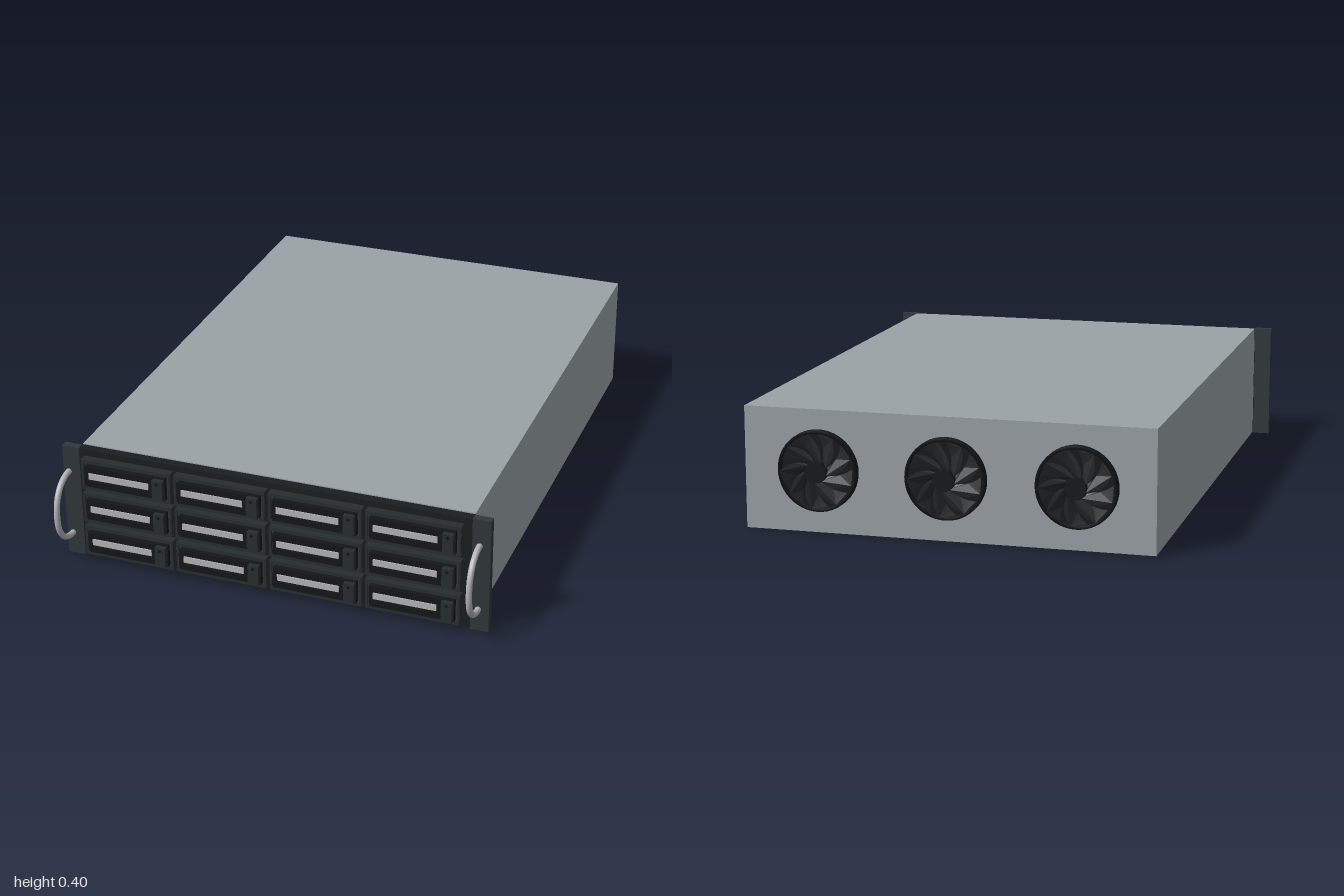
import * as THREE from 'three';

const mat = (color) => new THREE.MeshStandardMaterial({ color });
const steel = mat(0x9aa2a6), silver = mat(0xb4b4b8), panel = mat(0x1a1e20);
const plate = mat(0x30373a), trim = mat(0x272d2f), black = mat(0x131617), blade = mat(0x202324);

function add(parent, name, geometry, material, x = 0, y = 0, z = 0) {
  const mesh = new THREE.Mesh(geometry, material);
  mesh.name = name;
  mesh.position.set(x, y, z);
  parent.add(mesh);
  return mesh;
}

// box given by centre x, y and its back and front z
function slab(parent, name, material, w, h, z0, z1, x = 0, y = 0) {
  return add(parent, name, new THREE.BoxGeometry(w, h, z1 - z0), material, x, y, (z0 + z1) / 2);
}

// rectangular rim with an opening
function rimGeometry(w, h, holeW, holeH, depth) {
  const rect = (Type, a, b) => new Type([
    new THREE.Vector2(-a / 2, -b / 2), new THREE.Vector2(a / 2, -b / 2),
    new THREE.Vector2(a / 2, b / 2), new THREE.Vector2(-a / 2, b / 2)]);
  const shape = rect(THREE.Shape, w, h);
  shape.holes.push(rect(THREE.Path, holeW, holeH));
  return new THREE.ExtrudeGeometry(shape, { depth, bevelEnabled: false });
}

// hot-swap drive tray: surround, recessed front, silver strip and latch
function driveTray(x, y) {
  const g = new THREE.Group();
  g.name = 'driveTray';
  g.position.set(x, y, 0.866);
  slab(g, 'trayBody', plate, 0.304, 0.098, 0, 0.02);
  add(g, 'trayRim', rimGeometry(0.312, 0.108, 0.296, 0.084, 0.028), trim);
  slab(g, 'trayFront', black, 0.238, 0.074, 0.02, 0.032, -0.021);
  add(g, 'stripRim', rimGeometry(0.238, 0.074, 0.214, 0.032, 0.006), black, -0.021, 0, 0.032);
  slab(g, 'labelStrip', silver, 0.21, 0.022, 0.032, 0.036, -0.023);
  slab(g, 'latchBase', black, 0.042, 0.08, 0.02, 0.035, 0.12);
  slab(g, 'latch', trim, 0.036, 0.072, 0.035, 0.052, 0.12);
  const light = add(g, 'latchButton', new THREE.CylinderGeometry(0.005, 0.005, 0.004, 12), black, 0.12, 0.025, 0.053);
  light.rotation.x = Math.PI / 2;
  return g;
}

// exhaust fan with swept blades, facing +z before it is turned
function fan(x) {
  const g = new THREE.Group();
  g.name = 'fan';
  g.position.set(x, 0.207, -0.963);
  g.rotation.y = Math.PI;

  const disc = add(g, 'fanBack', new THREE.CylinderGeometry(0.126, 0.126, 0.008, 48), black, 0, 0, 0.004);
  disc.rotation.x = Math.PI / 2;
  const ring = [[0.121, 0], [0.131, 0], [0.131, 0.02], [0.121, 0.02], [0.121, 0]];
  const ringMesh = add(g, 'fanRing', new THREE.LatheGeometry(ring.map(p => new THREE.Vector2(...p)), 48), black);
  ringMesh.material = black;
  ringMesh.rotation.x = Math.PI / 2;

  const shape = new THREE.Shape();
  shape.moveTo(0.03, -0.012);
  shape.quadraticCurveTo(0.085, -0.01, 0.112, 0.045);
  shape.quadraticCurveTo(0.098, 0.068, 0.08, 0.086);
  shape.quadraticCurveTo(0.07, 0.035, 0.03, 0.012);
  const bladeGeo = new THREE.ExtrudeGeometry(shape, { depth: 0.006, bevelEnabled: false, curveSegments: 8 });
  // pitch each blade: the leading edge stands higher
  const pos = bladeGeo.attributes.position;
  for (let i = 0; i < pos.count; i++) {
    const px = pos.getX(i), py = pos.getY(i);
    const sweep = Math.atan2(py, px) - (Math.hypot(px, py) - 0.03) * 6.5;
    pos.setZ(i, pos.getZ(i) + 0.018 - THREE.MathUtils.clamp(sweep, -0.4, 0.4) * 0.02);
  }
  bladeGeo.computeVertexNormals();
  for (let i = 0; i < 9; i++) {
    add(g, 'fanBlade', bladeGeo, blade).rotation.z = (i / 9) * Math.PI * 2;
  }

  const hub = add(g, 'fanHub', new THREE.CylinderGeometry(0.035, 0.04, 0.036, 32), black, 0, 0, 0.019);
  hub.rotation.x = Math.PI / 2;
  return g;
}

// bowed carrying handle
function handleGeometry() {
  const path = new THREE.CatmullRomCurve3([
    [0.09, 0.885], [0.092, 0.91], [0.11, 0.95], [0.15, 0.979], [0.205, 0.988],
    [0.26, 0.979], [0.30, 0.95], [0.318, 0.91], [0.32, 0.885]
  ].map(([y, z]) => new THREE.Vector3(0, y, z)));
  return new THREE.TubeGeometry(path, 40, 0.01, 12, false);
}

export function createModel() {
  const model = new THREE.Group();
  model.name = 'rackServer';

  slab(model, 'chassis', steel, 1.33, 0.397, -0.963, 0.834, 0, 0.203);
  slab(model, 'frontPanel', panel, 1.33, 0.392, 0.834, 0.866, 0, 0.202);

  // rack ears and handles
  const handleGeo = handleGeometry();
  const capGeo = new THREE.CircleGeometry(0.01, 12);
  for (const side of [-1, 1]) {
    slab(model, 'rackEar', plate, 0.06, 0.4, 0.84, 0.866, side * 0.695, 0.2);
    add(model, 'handle', handleGeo, silver, side * 0.695);
    for (const y of [0.09, 0.32]) {
      add(model, 'handleEnd', capGeo, silver, side * 0.695, y, 0.885).rotation.y = Math.PI;
    }
  }

  // drive bays: four columns, three rows
  for (let col = 0; col < 4; col++) {
    for (let row = 0; row < 3; row++) {
      model.add(driveTray(-0.49 + col * 0.324, 0.076 + row * 0.1235));
    }
  }

  for (const x of [-0.418, 0, 0.418]) model.add(fan(x));
  return model;
}
